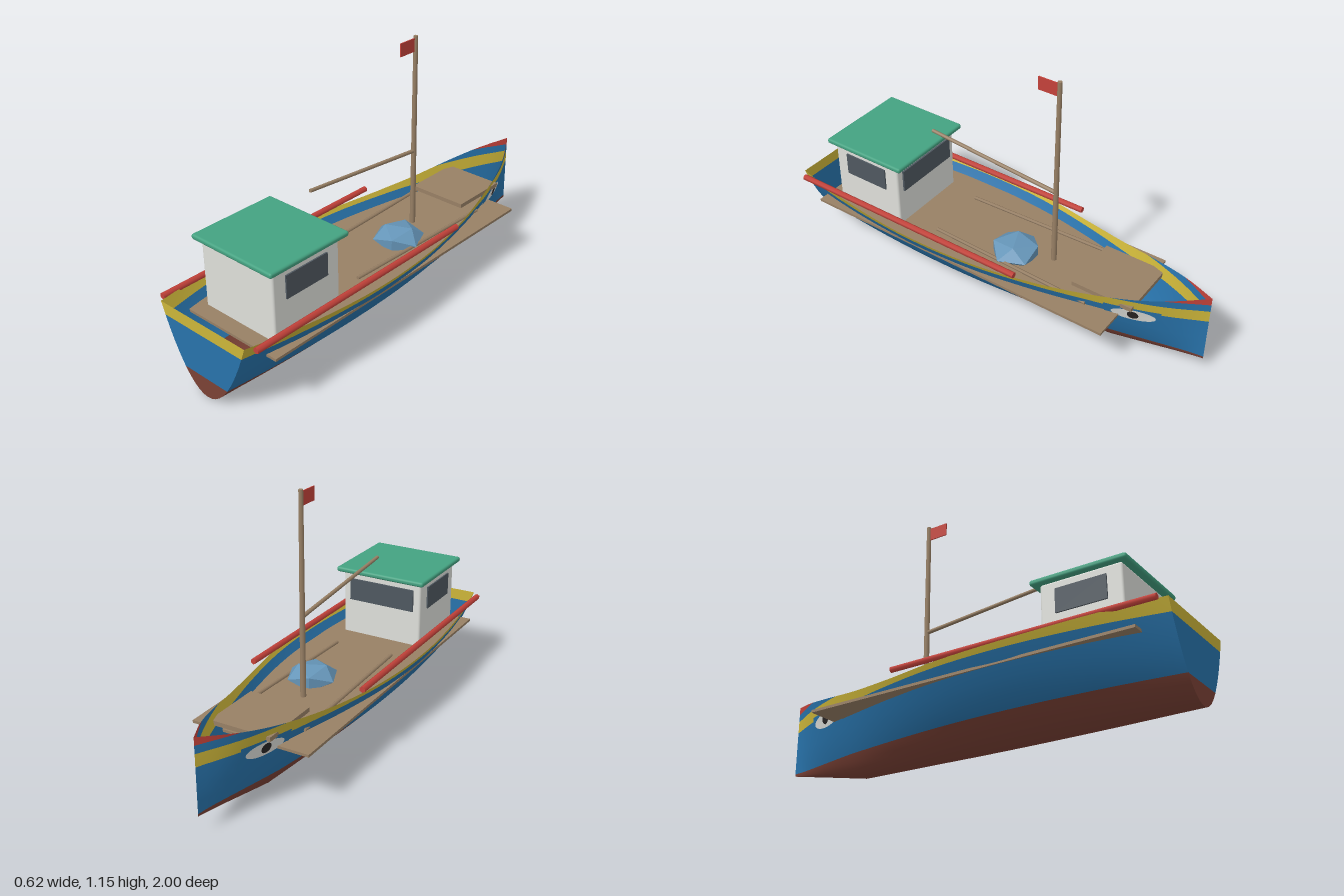
import * as THREE from 'three';
import { RoundedBoxGeometry } from 'three/addons/geometries/RoundedBoxGeometry.js';

const paint = (name, color, double = false) => {
  const m = new THREE.MeshStandardMaterial({ color });
  m.name = name;
  if (double) m.side = THREE.DoubleSide;
  return m;
};

// Hull lines along z (bow at -1, stern at +1)
const line = (zs, vs) => {
  const c = new THREE.CubicInterpolant(new Float32Array(zs), new Float32Array(vs), 1);
  return z => c.evaluate(z)[0];
};
const beam = line([-1, -0.85, -0.7, -0.5, -0.3, 0, 0.3, 0.6, 0.8, 1],
  [0, 0.083, 0.14, 0.193, 0.24, 0.293, 0.31, 0.298, 0.275, 0.24]);
const sheer = line([-1, -0.75, -0.5, -0.25, 0, 0.4, 0.8, 1],
  [0.415, 0.364, 0.328, 0.312, 0.311, 0.316, 0.334, 0.345]);
const keel = z => 0.08 * Math.max(0, (-0.58 - z) / 0.42);
const halfWidth = (z, y) => {
  const t = (y - keel(z)) / (sheer(z) - keel(z));
  return beam(z) * Math.sqrt(Math.min(1, Math.max(0, t)));
};

// Heights of the rows of planking; each row has one colour
const ROW_COLOURS = [0, 0, 0, 0, 0, 1, 1, 1, 1, 2, 1, 3];
const rowHeight = (z, j) => {
  const k = keel(z), s = sheer(z);
  if (j <= 5) return k + (0.09 - k) * (j / 5) ** 2;
  if (j <= 9) return 0.09 + 0.2 * (j - 5) / 4;
  return Math.min(s, [0.345, 0.38, 1][j - 10]);
};

// Grid of columns and rows, one material group per row
function loft(cols, point, flip) {
  const rows = ROW_COLOURS.length, pos = [], index = [];
  const geo = new THREE.BufferGeometry();
  for (let j = 0; j <= rows; j++)
    for (let i = 0; i <= cols; i++) pos.push(...point(i, j));
  for (let j = 0; j < rows; j++) {
    geo.addGroup(index.length, cols * 6, ROW_COLOURS[j]);
    for (let i = 0; i < cols; i++) {
      const a = j * (cols + 1) + i, b = a + 1, c = a + cols + 1, d = c + 1;
      index.push(...(flip ? [a, b, c, b, d, c] : [a, c, b, b, c, d]));
    }
  }
  geo.setAttribute('position', new THREE.Float32BufferAttribute(pos, 3));
  geo.setIndex(index);
  geo.computeVertexNormals();
  return geo;
}

// Lay a flat shape (its x along z, its y up) onto the side of the hull
function onHull(geo, z0, y0, side, lift) {
  const p = geo.attributes.position;
  for (let i = 0; i < p.count; i++) {
    const z = z0 - side * p.getX(i), y = y0 + p.getY(i);
    p.setXYZ(i, side * (halfWidth(z, y) + lift), y, z);
  }
  geo.computeVertexNormals();
  return geo;
}

export function createModel() {
  const boat = new THREE.Group();
  boat.name = 'fishingBoat';
  const bottom = paint('bottomRed', 0x7b4135, true);
  const blue = paint('hullBlue', 0x2873ab, true);
  const yellow = paint('bandYellow', 0xccb539, true);
  const red = paint('trimRed', 0xc4423a, true);
  const wood = paint('wood', 0x988065);
  const white = paint('cabinWhite', 0xdedfda);
  const green = paint('roofGreen', 0x44a281);
  const glass = paint('windowGrey', 0x4f5860);
  const net = paint('netBlue', 0x6595b8);
  net.flatShading = true;
  const black = paint('pupilBlack', 0x2a2626);

  const add = (name, geo, mat, x = 0, y = 0, z = 0) => {
    const m = new THREE.Mesh(geo, mat);
    m.name = name;
    m.position.set(x, y, z);
    boat.add(m);
    return m;
  };
  const box = (name, mat, w, h, d, x, y, z) =>
    add(name, new THREE.BoxGeometry(w, h, d), mat, x, y, z);
  const pole = (name, mat, from, to, r0, r1, sides = 8) => {
    const a = new THREE.Vector3(...from), b = new THREE.Vector3(...to), d = b.clone().sub(a);
    const m = add(name, new THREE.CylinderGeometry(r1, r0, d.length(), sides), mat);
    m.position.copy(a).add(b).multiplyScalar(0.5);
    m.quaternion.setFromUnitVectors(new THREE.Vector3(0, 1, 0), d.normalize());
    return m;
  };

  // Hull sides and transom
  const planking = [bottom, blue, yellow, red];
  const COLS = 48;
  for (const side of [1, -1]) {
    add(side > 0 ? 'hullLeft' : 'hullRight', loft(COLS, (i, j) => {
      const z = -1 + 2 * i / COLS, y = rowHeight(z, j);
      return [side * halfWidth(z, y), y, z];
    }, side < 0), planking);
  }
  add('transom', loft(1, (i, j) => {
    const y = rowHeight(1, j);
    return [(i * 2 - 1) * halfWidth(1, y), y, 1];
  }, true), planking);

  // Decks
  box('deck', wood, 0.55, 0.012, 1.54, 0, 0.245, 0.11);
  box('foredeck', wood, 0.284, 0.02, 0.285, 0, 0.308, -0.578);

  // Wheelhouse with windows and roof
  add('cabin', new RoundedBoxGeometry(0.4, 0.32, 0.36, 2, 0.01), white, 0, 0.402, 0.63);
  add('roof', new RoundedBoxGeometry(0.45, 0.024, 0.425, 2, 0.01), green, 0, 0.571, 0.627);
  box('bowWindow', glass, 0.33, 0.105, 0.009, 0, 0.473, 0.446);
  for (const side of [1, -1])
    box('sideWindow', glass, 0.009, 0.105, 0.225, side * 0.202, 0.473, 0.632);

  // Mast, boom and flag
  pole('mast', wood, [0, 0.25, -0.255], [0, 1.155, -0.255], 0.013, 0.01);
  pole('boom', wood, [0, 0.615, -0.255], [0, 0.675, 0.4], 0.009, 0.008);
  box('flag', red, 0.005, 0.06, 0.09, 0, 1.116, -0.2);

  // Heap of net
  const heap = add('netHeap', new THREE.IcosahedronGeometry(0.118, 0), net, 0.055, 0.268, -0.09);
  heap.scale.y = 0.5;
  heap.rotation.y = 0.4;

  for (const side of [1, -1]) {
    // Rubbing rail and stowed oar
    pole('rail', red, [side * 0.27, 0.338, -0.23], [side * 0.27, 0.338, 0.97], 0.014, 0.014, 6);
    pole('oar', wood, [side * 0.17, 0.263, -0.52], [side * 0.143, 0.263, 0.28], 0.008, 0.008, 6);

    // Painted bow eye on its panel
    add('eyePanel', onHull(new THREE.PlaneGeometry(0.23, 0.11, 12, 6), -0.715, 0.25, side, 0.004), blue);
    const oval = new THREE.CircleGeometry(1, 28).scale(0.09, 0.032, 1);
    add('eyeWhite', onHull(oval, -0.72, 0.265, side, 0.007), white);
    add('pupil', onHull(new THREE.CircleGeometry(0.023, 18), -0.72, 0.268, side, 0.01), black);
  }
  return boat;
}
